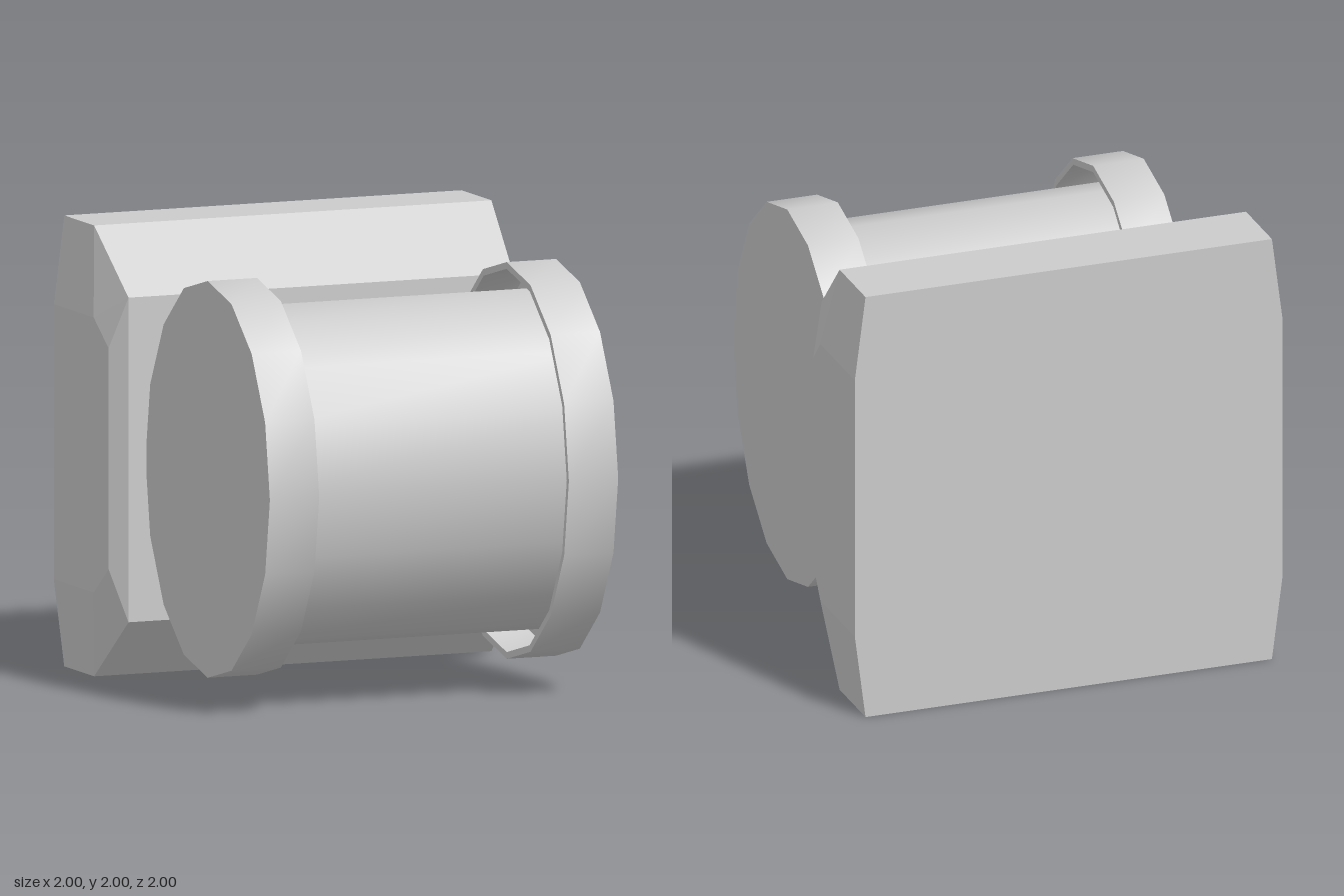
import * as THREE from 'three';
import { toCreasedNormals } from 'three/addons/utils/BufferGeometryUtils.js';
import { ConvexGeometry } from 'three/addons/geometries/ConvexGeometry.js';

const SIDES = 16;
const grey = new THREE.MeshStandardMaterial({ color: 0xcccccc });
const greyFlat = new THREE.MeshStandardMaterial({ color: 0xcccccc, flatShading: true });

// Revolves [radius, x] pairs about the x axis, squashed along z
function spun(profile, squash) {
  const geometry = new THREE.LatheGeometry(profile.map(([r, x]) => new THREE.Vector2(r, x)), SIDES);
  geometry.rotateZ(-Math.PI / 2);
  geometry.scale(1, 1, squash);
  return toCreasedNormals(geometry, 0.7);
}

export function createModel() {
  const model = new THREE.Group();
  model.name = 'drumOnBlock';

  // Bevelled block: one corner mirrored into all four quadrants
  const corner = [
    [0.92, 0.72, -0.36], [0.985, 0.49, -0.43], [1, 0.61, -0.56],
    [0.95, 1, -0.67], [1, 0.61, -1], [0.95, 1, -1],
  ];
  const points = [];
  for (const sx of [-1, 1]) for (const sy of [-1, 1]) {
    for (const [x, y, z] of corner) points.push(new THREE.Vector3(sx * x, 1 + sy * y, z));
  }
  const block = new THREE.Mesh(new ConvexGeometry(points), greyFlat);
  block.name = 'backBlock';
  model.add(block);

  // Oval drum running between the two end caps
  const drum = new THREE.Mesh(spun([[0, -0.8], [0.757, -0.8], [0.757, 0.8], [0, 0.8]], 0.786), grey);
  drum.name = 'drum';
  drum.position.set(0, 1, 0.308);
  model.add(drum);

  // Hollow end caps, open towards the drum
  const capGeometry = spun([
    [0, 0.8], [0.85, 0.8], [0.85, 0.597], [0.88, 0.597], [0.88, 0.833], [0, 0.833],
  ], 0.78);
  for (const [name, turn] of [['leftCap', 0], ['rightCap', Math.PI]]) {
    const cap = new THREE.Mesh(capGeometry, grey);
    cap.name = name;
    cap.position.set(0, 1, 0.313);
    cap.rotation.y = turn;
    model.add(cap);
  }
  return model;
}
